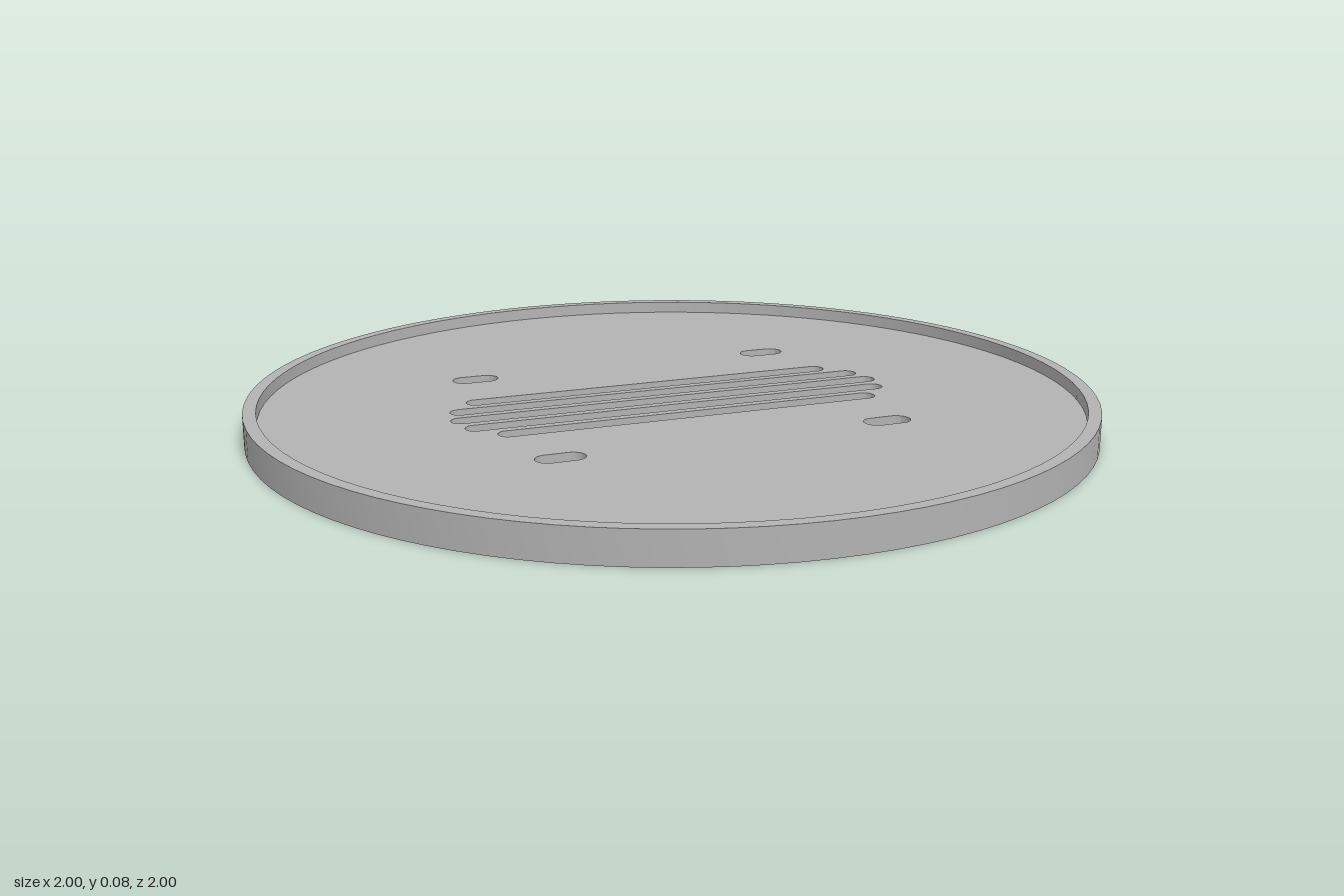
import * as THREE from 'three';
import { toCreasedNormals } from 'three/addons/utils/BufferGeometryUtils.js';

const RADIUS = 1, INNER = 0.97, HEIGHT = 0.075, FLOOR = 0.045, ARC = 48;

// Rounded slot outline along x, centred on (x, z)
function slot(x, z, halfLength, width) {
  const r = width / 2, d = halfLength - r;
  const path = new THREE.Path();
  path.absarc(x + d, z, r, -Math.PI / 2, Math.PI / 2, false);
  path.absarc(x - d, z, r, Math.PI / 2, Math.PI * 1.5, false);
  path.closePath();
  return path;
}

export function createModel() {
  const model = new THREE.Group();
  model.name = 'slottedTray';
  const grey = new THREE.MeshStandardMaterial({ color: 0xb2b2b2 });
  grey.name = 'grey';

  // Floor disc with vent slots and four mounting slots
  const disc = new THREE.Shape();
  disc.absarc(0, 0, INNER, 0, Math.PI * 2, false);
  [0.47, 0.527, 0.543, 0.527, 0.47].forEach((half, i) => {
    disc.holes.push(slot(0, (i - 2) * 0.07, half, 0.048));
  });
  for (const x of [-0.392, 0.392]) {
    for (const z of [-0.352, 0.352]) disc.holes.push(slot(x, z, 0.057, 0.059));
  }
  const floorGeometry = new THREE.ExtrudeGeometry(disc, {
    depth: FLOOR, bevelEnabled: false, curveSegments: ARC,
  });
  floorGeometry.rotateX(-Math.PI / 2);
  const floor = new THREE.Mesh(toCreasedNormals(floorGeometry, 0.6), grey);
  floor.name = 'floor';
  model.add(floor);

  // Raised rim around the floor
  const profile = [[INNER, 0], [RADIUS, 0], [RADIUS, HEIGHT], [INNER, HEIGHT], [INNER, FLOOR]]
    .map(([r, y]) => new THREE.Vector2(r, y));
  const rim = new THREE.Mesh(
    toCreasedNormals(new THREE.LatheGeometry(profile, ARC * 2), 0.6), grey);
  rim.name = 'rim';
  model.add(rim);

  return model;
}
